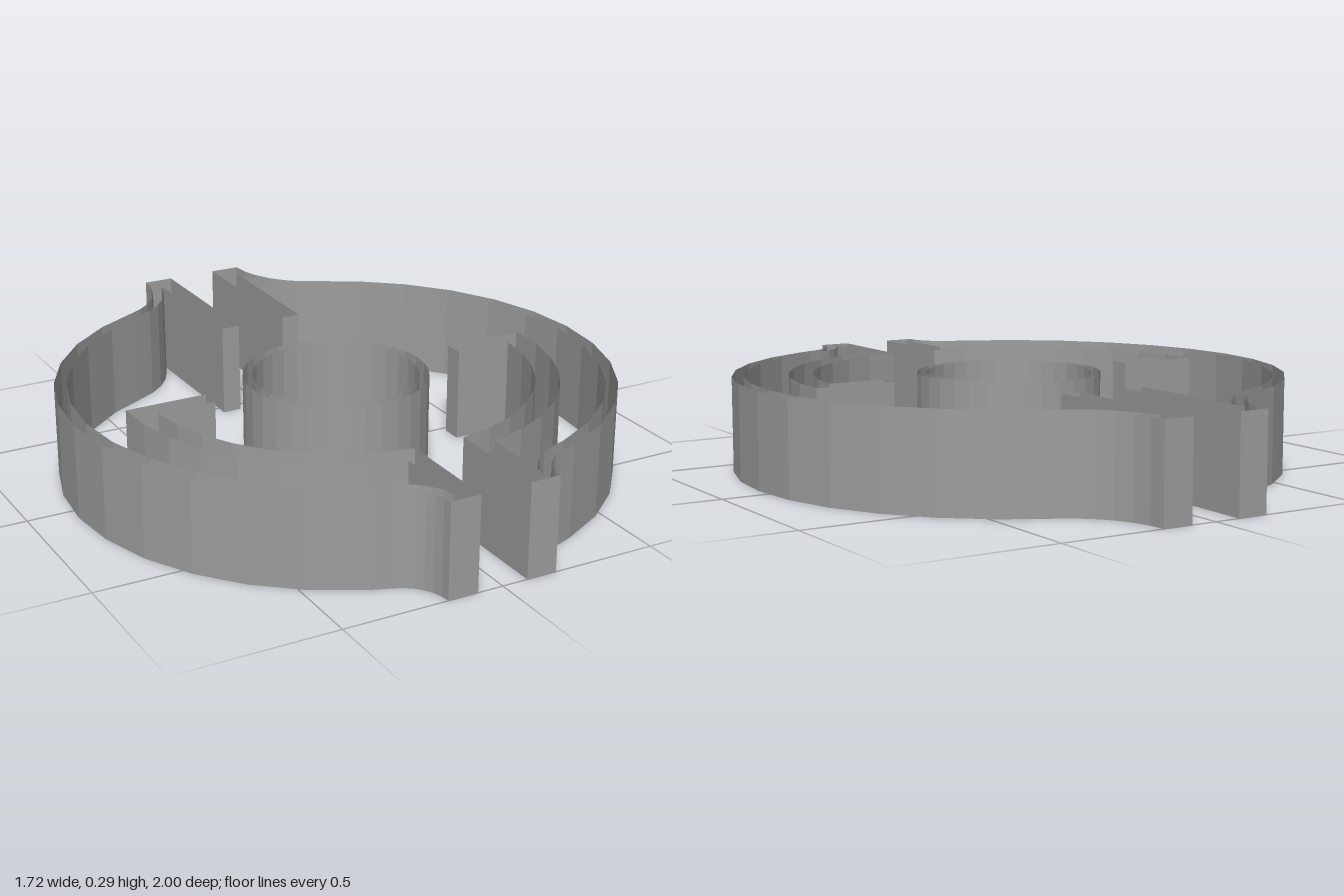
import * as THREE from 'three';

const H = 0.295;      // common height
const C = 0.053;      // z of the ring centre
const R = 0.859;      // outer ring radius
const WALL = 0.037;   // outer band thickness
const GAP = 0.08;     // half width of the slot between the halves
const LIP = 0.175;    // outer x of the end lips
const PLATE = 0.14;   // outer x of the slot plates

const material = new THREE.MeshStandardMaterial({ color: 0x9d9d9d, flatShading: true, side: THREE.DoubleSide });

// Arc points [x, z]; angles are measured from +z towards +x
function arc(cx, cz, r, a0, a1, n) {
  return Array.from({ length: n + 1 }, (_, i) => {
    const a = a0 + (a1 - a0) * i / n;
    return [cx + r * Math.sin(a), cz + r * Math.cos(a)];
  });
}

// Upright walls along a closed plan outline, open at top and bottom.
// The outline runs from +z over +x to -z, so that its walls face outwards.
function walls(name, outline) {
  const pos = [];
  outline.forEach(([x0, z0], i) => {
    const [x1, z1] = outline[(i + 1) % outline.length];
    pos.push(x0, 0, z0, x1, 0, z1, x1, H, z1);
    pos.push(x0, 0, z0, x1, H, z1, x0, H, z0);
  });
  const geo = new THREE.BufferGeometry();
  geo.setAttribute('position', new THREE.Float32BufferAttribute(pos, 3));
  geo.computeVertexNormals();
  const mesh = new THREE.Mesh(geo, material);
  mesh.name = name;
  return mesh;
}

// Radius of the concave fillet that runs from the lip at z = zEnd into the ring
function filletRadius(zEnd) {
  const dz = zEnd - C;
  return (LIP * LIP + dz * dz - R * R) / (2 * (R - LIP));
}

// One edge of the outer band, offset inwards by t
function bandEdge(t) {
  const rf = filletRadius(1), rb = filletRadius(-1);
  const af = Math.atan2(LIP + rf, 1 - C);
  const ab = Math.atan2(LIP + rb, -1 - C);
  return [
    ...arc(LIP + rf, 1, rf + t, -Math.PI / 2, af - Math.PI, 6),
    ...arc(0, C, R - t, Math.PI / 8, Math.PI * 13 / 16, 11),
    ...arc(LIP + rb, -1, rb + t, ab - Math.PI, -Math.PI / 2, 6),
  ];
}

// Half of the ring: outer band, back plate, front plate, inner arc and inward stop
function halfOutline() {
  const ro = 0.685, ri = 0.61, half = 0.0325, stopX = 0.425;
  return [
    ...bandEdge(0),
    [GAP, -1], [GAP, -0.46], [PLATE, -0.46],
    ...bandEdge(WALL).slice(1, -1).reverse(),
    ...arc(0, C, ro, Math.asin(PLATE / ro), Math.PI / 2 + Math.asin(half / ro), 8),
    [stopX, C - half], [stopX, C + half],
    ...arc(0, C, ri, Math.PI / 2 - Math.asin(half / ri), Math.asin(GAP / ri), 8),
    [GAP, 1],
  ];
}

export function createModel() {
  const model = new THREE.Group();
  model.name = 'splitRing';

  // Mirrored halves
  const outline = halfOutline();
  model.add(
    walls('leftHalf', outline),
    walls('rightHalf', outline.map(([x, z]) => [-x, z]).reverse()),
  );

  // Central tube
  const circle = r => arc(0, C, r, 0, Math.PI * 2, 32).slice(0, -1);
  model.add(
    walls('hubOuterWall', circle(0.287)),
    walls('hubInnerWall', circle(0.257).reverse()),
  );
  return model;
}
